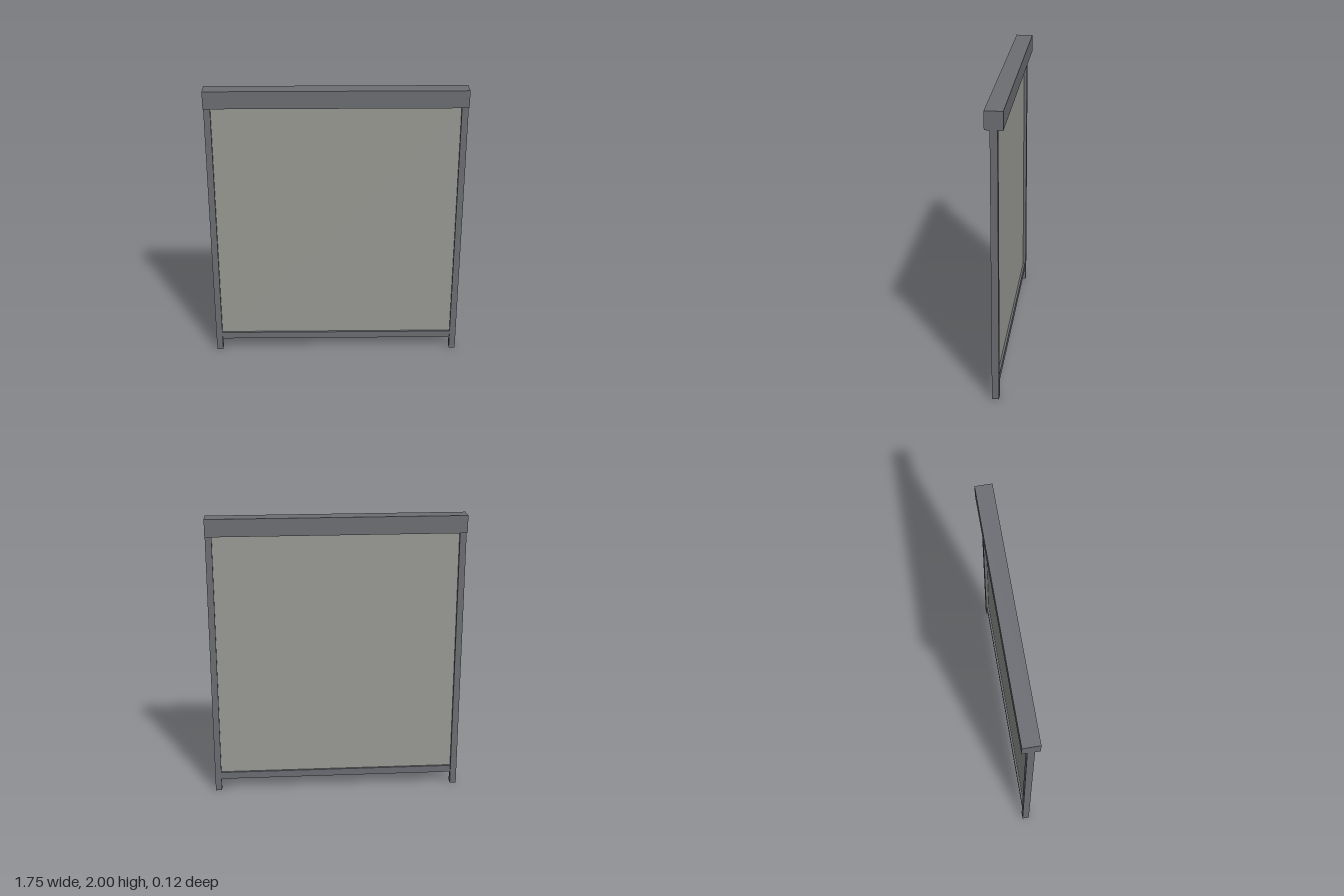
import * as THREE from 'three';

const metal = new THREE.MeshStandardMaterial({ color: 0x6c6e73 });
const cloth = new THREE.MeshStandardMaterial({ color: 0x9a9a95 });

// Box spanning the given height range, centred on x and z = 0
function addBox(group, name, material, width, bottom, top, depth, x = 0) {
  const mesh = new THREE.Mesh(new THREE.BoxGeometry(width, top - bottom, depth), material);
  mesh.name = name;
  mesh.position.set(x, (bottom + top) / 2, 0);
  group.add(mesh);
}

export function createModel() {
  const model = new THREE.Group();
  model.name = 'rollerScreen';

  const halfWidth = 0.876;
  const railWidth = 0.044;
  const innerWidth = 2 * (halfWidth - railWidth);
  const headBottom = 1.88;

  // Cassette that houses the roller
  addBox(model, 'headBox', metal, 2 * halfWidth, headBottom, 2, 0.116);

  // Side guide rails
  for (const [name, side] of [['leftRail', 1], ['rightRail', -1]]) {
    addBox(model, name, metal, railWidth, 0, headBottom, 0.047, side * (halfWidth - railWidth / 2));
  }

  // Weighted bar and the fabric hanging above it
  addBox(model, 'bottomBar', metal, innerWidth, 0.088, 0.138, 0.034);
  addBox(model, 'fabric', cloth, innerWidth, 0.138, headBottom, 0.005);

  return model;
}
